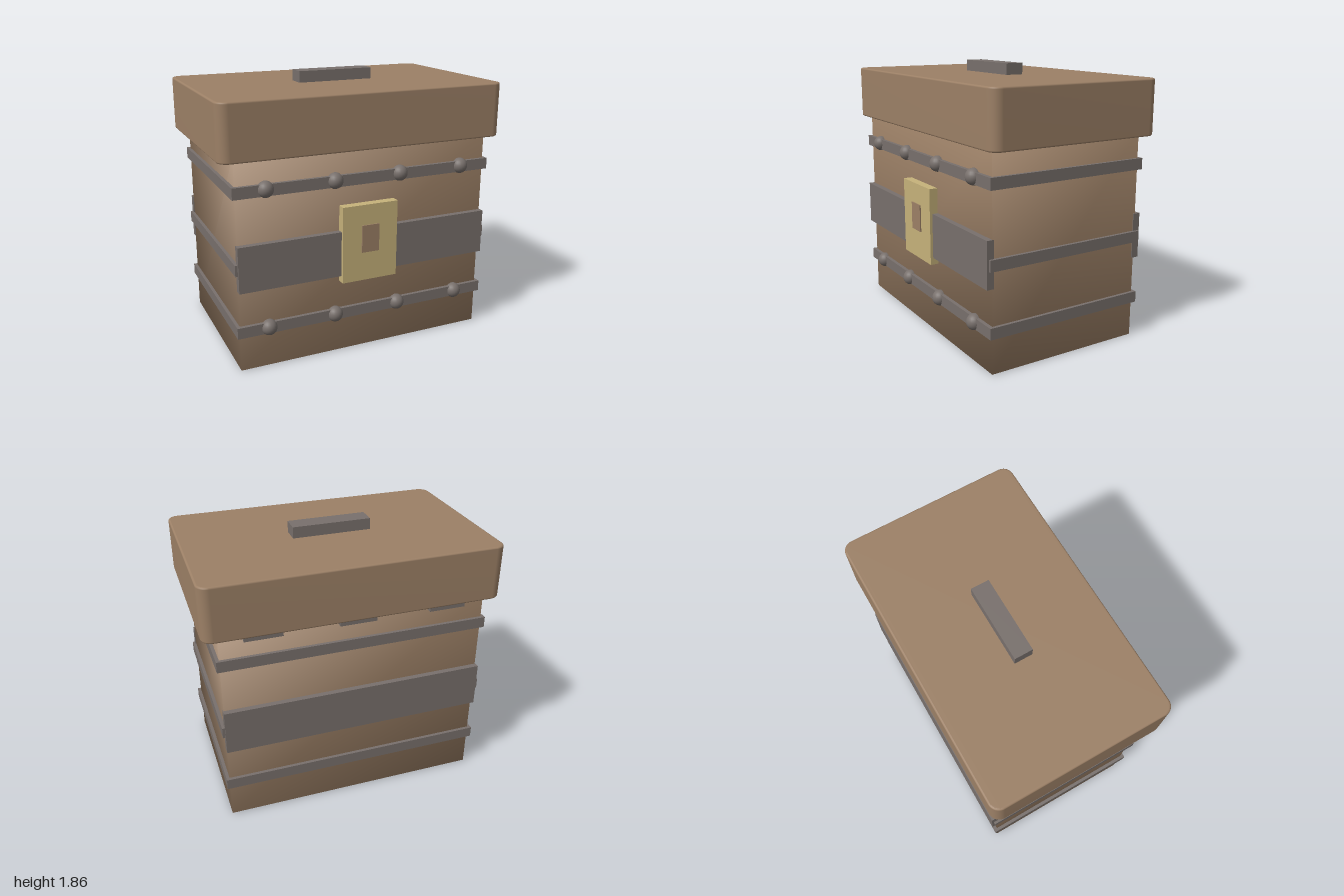
import * as THREE from 'three';
import { mergeVertices } from 'three/addons/utils/BufferGeometryUtils.js';

const mat = (name, color) => Object.assign(new THREE.MeshStandardMaterial({ color }), { name });

// Weld all corners so shading flows softly over the edges
function soften(geo) {
  geo.deleteAttribute('normal');
  geo.deleteAttribute('uv');
  geo = mergeVertices(geo, 1e-4);
  geo.computeVertexNormals();
  return geo;
}

// Rounded rectangle extruded upward, with a small bevel on its rims
function lidGeometry(w, h, d, r, bevel) {
  const x = w / 2 - bevel, y = d / 2 - bevel, s = new THREE.Shape();
  s.absarc(x - r, y - r, r, 0, Math.PI / 2);
  s.absarc(-x + r, y - r, r, Math.PI / 2, Math.PI);
  s.absarc(-x + r, -y + r, r, Math.PI, Math.PI * 1.5);
  s.absarc(x - r, -y + r, r, Math.PI * 1.5, Math.PI * 2);
  const geo = new THREE.ExtrudeGeometry(s, {
    depth: h - 2 * bevel, bevelSize: bevel, bevelThickness: bevel, bevelSegments: 3, curveSegments: 6,
  });
  geo.rotateX(-Math.PI / 2).translate(0, bevel, 0);
  return soften(geo);
}

export function createModel() {
  const root = new THREE.Group();
  root.name = 'chest';
  const leather = mat('brown', 0x9c8066);
  const iron = mat('iron grey', 0x78706c);
  const brass = mat('pale brass', 0xc6b27a);

  const add = (name, geo, material, x, y, z) => {
    const m = new THREE.Mesh(geo, material);
    m.name = name;
    m.position.set(x, y, z);
    root.add(m);
    return m;
  };
  // Box given by its extents on each axis
  const box = (name, material, [x0, x1], [y0, y1], [z0, z1]) =>
    add(name, new THREE.BoxGeometry(x1 - x0, y1 - y0, z1 - z0), material,
      (x0 + x1) / 2, (y0 + y1) / 2, (z0 + z1) / 2);

  // Body and lid
  add('body', soften(new THREE.BoxGeometry(1.8, 1.447, 1.125)), leather, 0, 0.7265, -0.003);
  add('lid', lidGeometry(2, 0.37, 1.248, 0.06, 0.012), leather, 0, 1.413, -0.006);
  box('handle', iron, [-0.27, 0.27], [1.78, 1.86], [-0.068, 0.058]);

  // Thin straps running all the way round
  for (const y of [0.285, 0.72, 1.22]) {
    box('strap', iron, [-0.922, 0.922], [y - 0.038, y + 0.038], [-0.588, 0.585]);
  }

  // Wide bands on front and back
  box('frontBand', iron, [-0.905, 0.905], [0.567, 0.877], [0.55, 0.6]);
  box('backBand', iron, [-0.905, 0.905], [0.567, 0.877], [-0.603, -0.55]);

  // Lock plate and keyhole
  box('lockPlate', brass, [-0.2, 0.2], [0.52, 1.05], [0.55, 0.619]);
  box('keyhole', leather, [-0.063, 0.063], [0.72, 0.91], [0.61, 0.627]);

  // Rivets on the upper and lower straps
  const rivet = new THREE.SphereGeometry(0.054, 20, 14);
  for (const y of [0.287, 1.225])
    for (const x of [-0.705, -0.235, 0.235, 0.705]) add('rivet', rivet, iron, x, y, 0.572);

  // Hinges peeking out under the lid at the back
  for (const x of [-0.62, 0, 0.62]) {
    box('hinge', iron, [x - 0.125, x + 0.125], [1.378, 1.5], [-0.604, -0.55]);
  }

  // Foot pads almost flush with the underside
  for (const x of [-0.82, 0.82])
    for (const z of [-0.483, 0.477]) box('foot', iron, [x - 0.065, x + 0.065], [0, 0.05], [z - 0.065, z + 0.065]);

  return root;
}
